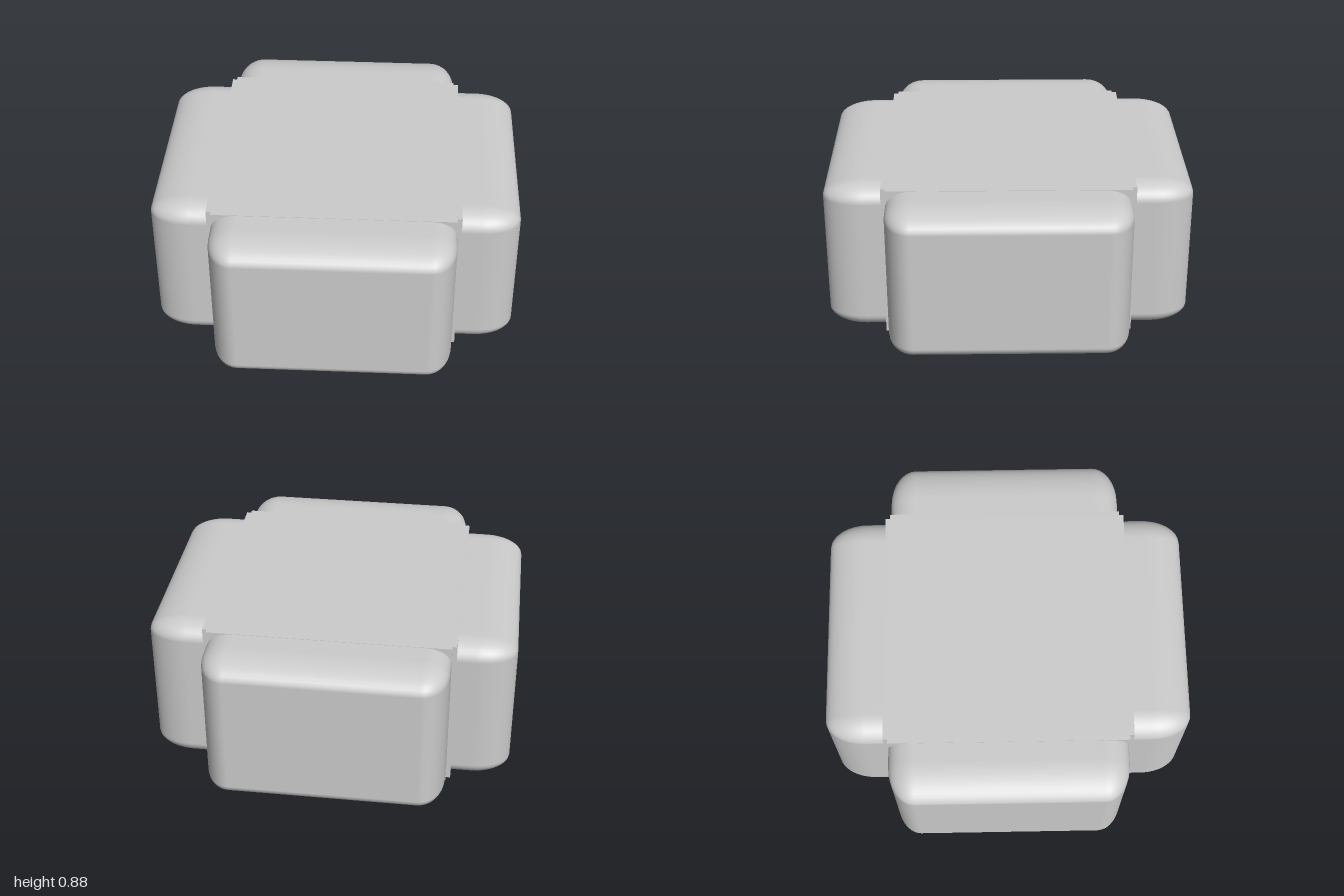
import * as THREE from 'three';
import { RoundedBoxGeometry } from 'three/addons/geometries/RoundedBoxGeometry.js';

const HEIGHT = 0.88;

export function createModel() {
  const model = new THREE.Group();
  const material = new THREE.MeshStandardMaterial({ color: 0xcccccc });

  const add = (name, geometry, y) => {
    const mesh = new THREE.Mesh(geometry, material);
    mesh.name = name;
    mesh.position.y = y;
    model.add(mesh);
    return mesh;
  };

  // Flat square core with a tiny notch cut from each corner
  const r = 0.68, n = 0.655;
  const outline = new THREE.Shape([
    [n, r], [-n, r], [-n, n], [-r, n], [-r, -n], [-n, -n],
    [-n, -r], [n, -r], [n, -n], [r, -n], [r, n], [n, n],
  ].map(([x, y]) => new THREE.Vector2(x, y)));
  const core = new THREE.ExtrudeGeometry(outline, { depth: HEIGHT, bevelEnabled: false });
  core.rotateX(-Math.PI / 2);
  add('core', core, 0);

  // Two crossing soft-edged bars form the four cushioned sides;
  // stretching a rounded cube gives longer curves along the length
  const cushion = new RoundedBoxGeometry(1, 1, 1, 5, 0.107);
  cushion.scale(2, HEIGHT - 0.004, 1.31);
  add('sideCushions', cushion, HEIGHT / 2);
  add('frontBackCushions', cushion, HEIGHT / 2).rotation.y = Math.PI / 2;

  return model;
}
